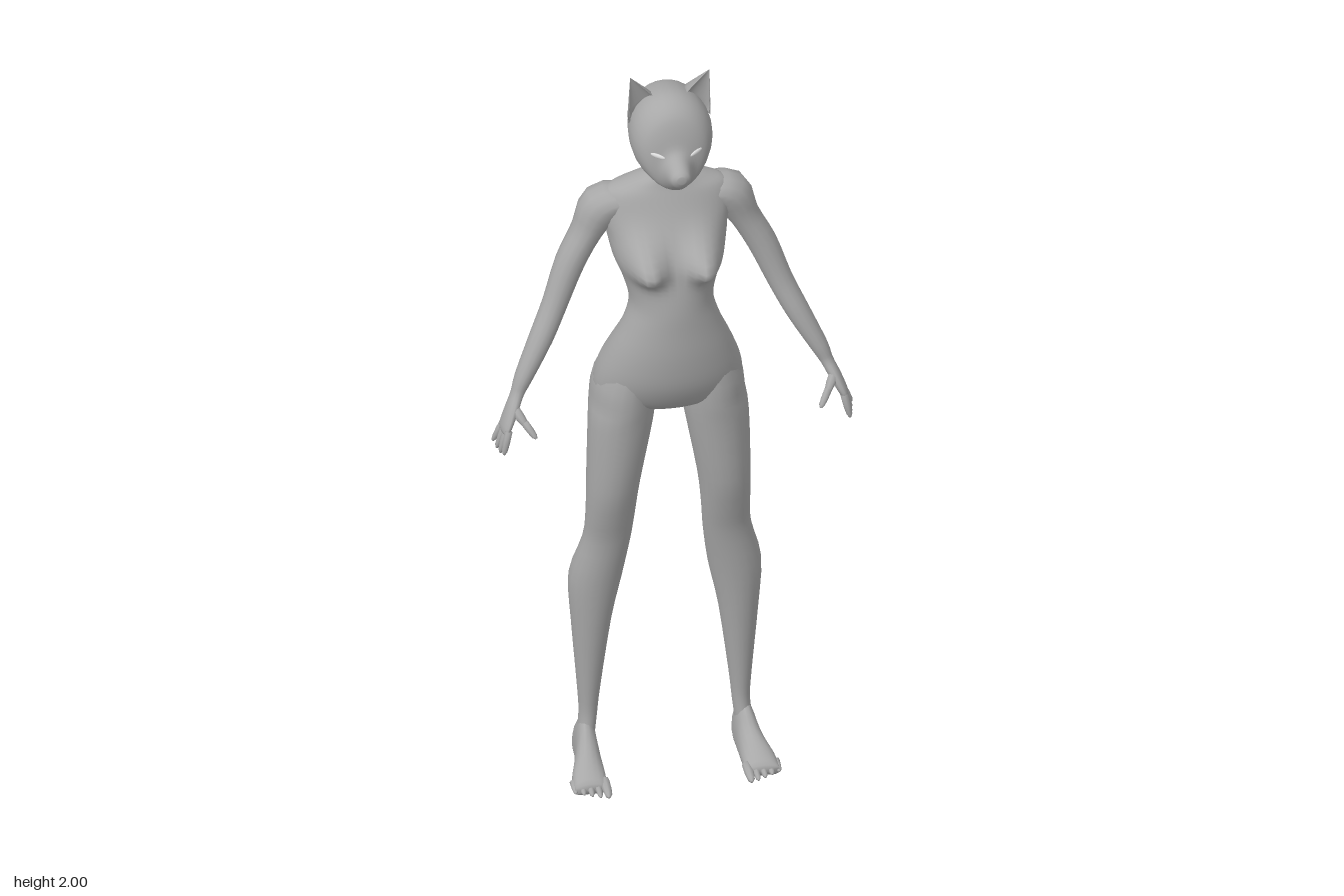
import * as THREE from 'three';

const skin = new THREE.MeshStandardMaterial({ color: 0xa8a8a8 });
skin.name = 'grey skin';
const eyeWhite = new THREE.MeshStandardMaterial({ color: 0xdcdcdc });
eyeWhite.name = 'pale eye';

const V = (x, y, z) => new THREE.Vector3(x, y, z);
const TAU = Math.PI * 2;

// Catmull-Rom subdivision of cross-section rows
function refine(rows, n = 3) {
  const out = [];
  for (let i = 0; i < rows.length - 1; i++) {
    const [a, b, c, d] = [rows[Math.max(i - 1, 0)], rows[i], rows[i + 1], rows[Math.min(i + 2, rows.length - 1)]];
    for (let k = 0; k < n; k++) {
      const t = k / n;
      out.push(b.map((p, j) => p + 0.5 * t * (c[j] - a[j] +
        t * (2 * a[j] - 5 * p + 4 * c[j] - d[j] + t * (3 * (p - c[j]) + d[j] - a[j])))));
    }
  }
  out.push(rows[rows.length - 1]);
  return out;
}

// Skin over closed rings of equal length, capped at both ends
function loft(name, rings, side = 1) {
  const n = rings[0].length, pos = [], idx = [];
  for (const r of rings) for (const p of r) pos.push(p.x * side, p.y, p.z);
  for (let i = 0; i < rings.length - 1; i++) {
    for (let j = 0; j < n; j++) {
      const a = i * n + j, b = i * n + (j + 1) % n;
      idx.push(a, b, a + n, b, b + n, a + n);
    }
  }
  for (const e of [0, rings.length - 1]) {
    const c = rings[e].reduce((s, p) => s.add(p), V(0, 0, 0)).divideScalar(n);
    const m = pos.length / 3;
    pos.push(c.x * side, c.y, c.z);
    for (let j = 0; j < n; j++) {
      const a = e * n + j, b = e * n + (j + 1) % n;
      if (e) idx.push(a, b, m); else idx.push(b, a, m);
    }
  }
  // turn faces outward using the signed volume
  let vol = 0;
  const at = (i) => V(pos[3 * i], pos[3 * i + 1] - 1, pos[3 * i + 2]);
  for (let i = 0; i < idx.length; i += 3) vol += at(idx[i]).dot(at(idx[i + 1]).cross(at(idx[i + 2])));
  if (vol < 0) idx.reverse();
  const g = new THREE.BufferGeometry();
  g.setAttribute('position', new THREE.Float32BufferAttribute(pos, 3));
  g.setIndex(idx);
  g.computeVertexNormals();
  const mesh = new THREE.Mesh(g, skin);
  mesh.name = name;
  return mesh;
}

const ring = (n, f) => Array.from({ length: n }, (_, i) => f(Math.cos(i / n * TAU), Math.sin(i / n * TAU)));

// Horizontal section: y, centre x, half width, front z, back z
const flat = (n) => ([y, cx, w, zf, zb]) =>
  ring(n, (c, s) => V(cx + w * c, y, (zf + zb) / 2 + (zf - zb) / 2 * s));

// Limb along a path: x, y, z, in-plane radius, depth radius
function limb(name, rows, side, n = 14) {
  const p = rows.map((r) => V(r[0], r[1], r[2]));
  return loft(name, rows.map((r, i) => {
    const t = p[Math.min(i + 1, p.length - 1)].clone().sub(p[Math.max(i - 1, 0)]).normalize();
    const a = V(0, 0, 1).cross(t).normalize(), b = t.clone().cross(a);
    return ring(n, (c, s) => p[i].clone().addScaledVector(a, r[3] * c).addScaledVector(b, r[4] * s));
  }), side);
}

// Tapered digit with a rounded tip
function digit(name, from, to, r, side) {
  const rows = [[0, 1], [0.5, 0.95], [0.85, 0.75], [1, 0.3]].map(([t, k]) => {
    const q = from.clone().lerp(to, t);
    return [q.x, q.y, q.z, r * k, r * k];
  });
  return limb(name, rows, side, 8);
}

function torso() {
  const rows = refine([
    [1.79, 0, 0.036, 0, -0.07], [1.73, 0, 0.037, -0.01, -0.072], [1.695, 0, 0.045, -0.005, -0.082],
    [1.67, 0, 0.1, 0.0, -0.1], [1.645, 0, 0.15, 0.01, -0.115], [1.6, 0, 0.16, 0.03, -0.13],
    [1.54, 0, 0.148, 0.06, -0.138], [1.48, 0, 0.135, 0.085, -0.12], [1.43, 0, 0.115, 0.1, -0.095],
    [1.37, 0, 0.102, 0.108, -0.075], [1.31, 0, 0.117, 0.11, -0.068], [1.23, 0, 0.15, 0.11, -0.1],
    [1.15, 0, 0.176, 0.1, -0.13], [1.09, 0, 0.178, 0.075, -0.125], [1.06, 0, 0.13, 0.05, -0.1],
    [1.045, 0, 0.05, 0.02, -0.06],
  ], 4);
  const bump = (x, y, cx, cy, sx, up, down) =>
    Math.exp(-(((Math.abs(x) - cx) / sx) ** 2) - ((y - cy) / (y > cy ? up : down)) ** 2);
  const rings = rows.map(flat(40));
  // bust in front, shoulder blades and seat behind
  for (const r of rings) for (const p of r) {
    if (p.z > -0.02) p.z += 0.075 * bump(p.x, p.y, 0.073, 1.49, 0.042, 0.055, 0.038) * Math.min(1, (p.z + 0.02) / 0.05);
    else p.z -= 0.018 * bump(p.x, p.y, 0.09, 1.55, 0.05, 0.06, 0.06) + 0.04 * bump(p.x, p.y, 0.095, 1.13, 0.06, 0.08, 0.06);
  }
  return loft('torso', rings);
}

function head() {
  // sections along z: z, half width, bottom, top
  const rows = refine([
    [-0.105, 0.035, 1.815, 1.89], [-0.09, 0.072, 1.775, 1.92], [-0.055, 0.092, 1.74, 1.938],
    [0, 0.1, 1.725, 1.95], [0.04, 0.097, 1.72, 1.943], [0.07, 0.083, 1.72, 1.92],
    [0.086, 0.066, 1.72, 1.885], [0.097, 0.045, 1.725, 1.845], [0.112, 0.034, 1.735, 1.828],
    [0.135, 0.027, 1.753, 1.815], [0.148, 0.022, 1.765, 1.808], [0.156, 0.01, 1.78, 1.8],
  ]);
  return loft('head', rows.map(([z, w, lo, hi]) =>
    ring(28, (c, s) => V(w * c, (lo + hi) / 2 + (hi - lo) / 2 * s, z))));
}

function ear(side) {
  // crescent sections shrinking from the skull to the tip
  const tip = V(0.097, 2, 0.002), base = V(0.063, 1.895, 0.002);
  return loft('ear', [0, 0.25, 0.5, 0.75, 0.98].map((t) => {
    const k = 1 - t, o = base.clone().lerp(tip, t);
    return ring(16, (c, s) => V(o.x + 0.037 * k * c, o.y - 0.028 * k * c,
      o.z + k * (s < 0 ? 0.085 * s : -0.022 * s)));
  }), side);
}

function leg(side) {
  const g = new THREE.Group();
  g.name = side > 0 ? 'leftLeg' : 'rightLeg';
  g.add(loft('legShape', refine([
    [1.2, 0.09, 0.06, 0.07, -0.09], [1.12, 0.105, 0.076, 0.075, -0.135], [1.06, 0.11, 0.079, 0.073, -0.137],
    [1.0, 0.118, 0.078, 0.067, -0.1], [0.83, 0.135, 0.065, 0.053, -0.086], [0.73, 0.141, 0.06, 0.03, -0.076],
    [0.65, 0.147, 0.059, 0.01, -0.086], [0.53, 0.17, 0.065, -0.003, -0.12], [0.4, 0.18, 0.049, -0.015, -0.115],
    [0.2, 0.185, 0.028, -0.035, -0.102], [0.12, 0.187, 0.022, -0.04, -0.097], [0.05, 0.195, 0.022, -0.03, -0.1],
  ]).map(flat(20)), side));
  // foot sections: z, centre x, half width, top
  g.add(loft('foot', refine([
    [-0.117, 0.195, 0.012, 0.04], [-0.103, 0.195, 0.024, 0.085], [-0.065, 0.194, 0.028, 0.115],
    [-0.03, 0.196, 0.03, 0.1], [0, 0.2, 0.034, 0.074], [0.05, 0.207, 0.041, 0.05], [0.1, 0.21, 0.04, 0.028],
  ]).map(([z, cx, w, h]) => ring(18, (c, s) =>
    V(cx + w * c, s > 0 ? 0.015 + (h - 0.015) * s : 0.015 * (1 + Math.max(-1, 2.2 * s)), z))), side));
  for (let i = 0; i < 5; i++) {
    const x = 0.174 + i * 0.0185, r = i ? 0.0085 : 0.012;
    g.add(digit('toe', V(x, r + 0.006, 0.075 - i * 0.003), V(x, r, 0.14 - i * 0.009), r, side));
  }
  return g;
}

function arm(side) {
  const g = new THREE.Group();
  g.name = side > 0 ? 'leftArm' : 'rightArm';
  g.add(limb('armShape', refine([
    [0.1, 1.62, -0.055, 0.03, 0.05], [0.155, 1.6, -0.06, 0.052, 0.056], [0.192, 1.53, -0.06, 0.038, 0.047],
    [0.235, 1.45, -0.048, 0.036, 0.04], [0.275, 1.35, -0.028, 0.031, 0.033], [0.313, 1.27, -0.005, 0.029, 0.032],
    [0.36, 1.18, 0.02, 0.022, 0.026], [0.378, 1.14, 0.03, 0.016, 0.021], [0.395, 1.105, 0.045, 0.015, 0.03],
    [0.412, 1.068, 0.058, 0.012, 0.035], [0.418, 1.055, 0.061, 0.006, 0.03],
  ]), side));
  // four fingers fanned front to back, and the thumb
  for (let i = 0; i < 4; i++) {
    const z = 0.034 + i * 0.018;
    g.add(digit('finger', V(0.41, 1.07, z), V(0.438 - i * 0.005, 1.01 - 0.008 * Math.sin(i * 1.05), z + (i - 1) * 0.004), 0.0095, side));
  }
  g.add(digit('thumb', V(0.392, 1.115, 0.055), V(0.368, 1.085, 0.09), 0.0125, side));
  g.add(digit('thumbTip', V(0.371, 1.09, 0.086), V(0.347, 1.058, 0.113), 0.0095, side));
  return g;
}

function eye(side) {
  const m = new THREE.Mesh(new THREE.SphereGeometry(1, 14, 8), eyeWhite);
  m.name = 'eye';
  m.scale.set(0.02, 0.006, 0.004);
  m.position.set(0.047 * side, 1.828, 0.095);
  m.rotation.set(0, 0.6 * side, 0.12 * side);
  return m;
}

export function createModel() {
  const model = new THREE.Group();
  model.name = 'figure';
  model.add(torso(), head());
  for (const side of [1, -1]) model.add(ear(side), eye(side), arm(side), leg(side));
  return model;
}
